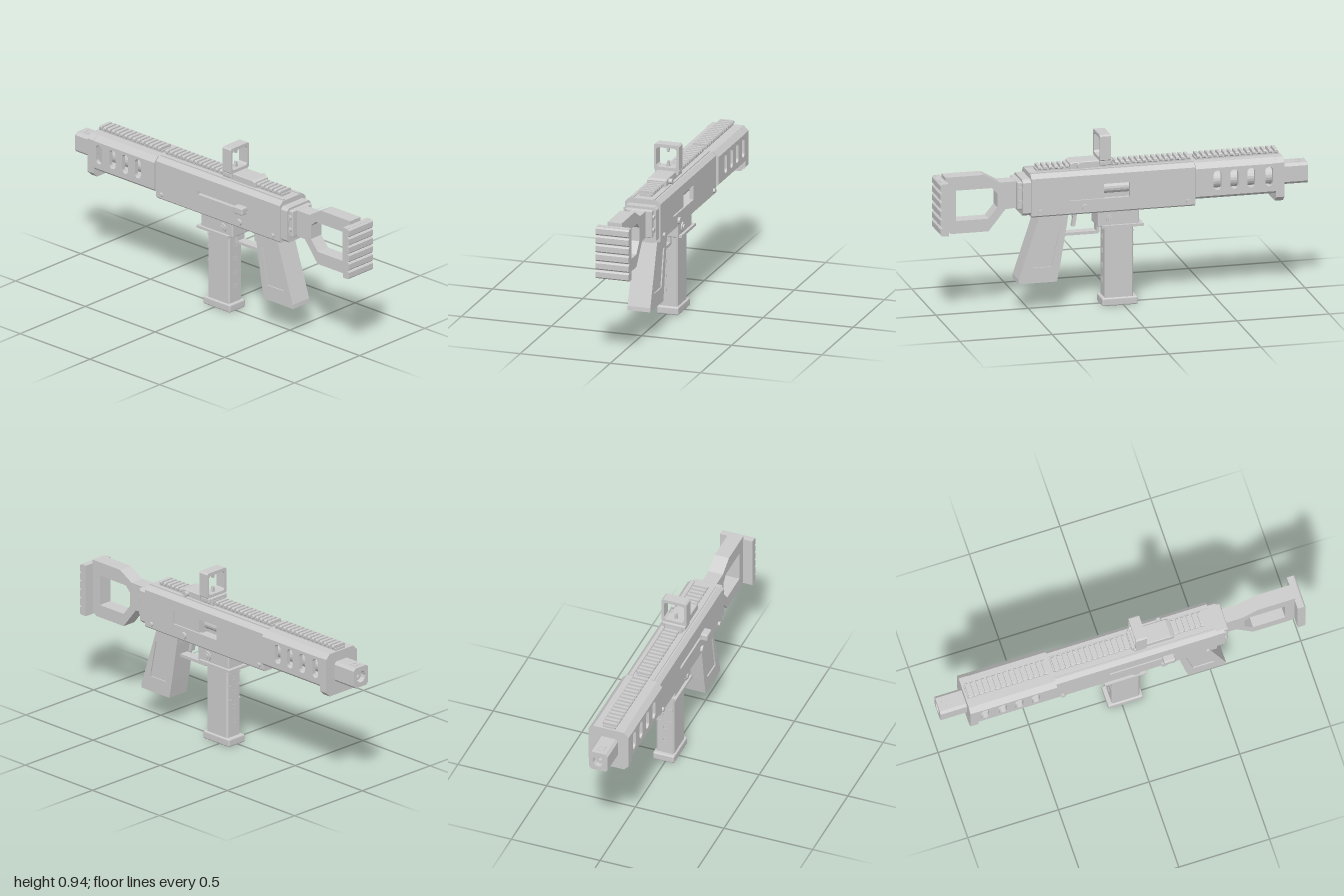
import * as THREE from 'three';
import { RoundedBoxGeometry } from 'three/addons/geometries/RoundedBoxGeometry.js';

const mat = new THREE.MeshStandardMaterial({ color: 0xcccccc, flatShading: true });

export function createModel() {
  const root = new THREE.Group();
  root.position.x = 0.01;
  const model = new THREE.Group();
  model.add(root);

  const add = (name, geo) => {
    const m = new THREE.Mesh(geo, mat);
    m.name = name;
    root.add(m);
    return m;
  };
  // box from its limits; r rounds the edges
  const box = (name, x0, x1, y0, y1, z0, z1, r = 0) => {
    const s = [x1 - x0, y1 - y0, z1 - z0];
    const g = r ? new RoundedBoxGeometry(...s, 2, r) : new THREE.BoxGeometry(...s);
    return add(name, g.translate((x0 + x1) / 2, (y0 + y1) / 2, (z0 + z1) / 2));
  };
  const poly = (pts) => new THREE.Shape(pts.map((p) => new THREE.Vector2(...p)));
  const makeShape = (pts, holes) => {
    const s = poly(pts);
    s.holes = holes.map((h) => (Array.isArray(h) ? poly(h) : h));
    return s;
  };
  // side outline in (z, y), extruded across x
  const side = (name, pts, x0, x1, holes = [], bevel = 0) => {
    const g = new THREE.ExtrudeGeometry(makeShape(pts, holes), {
      depth: x1 - x0 - 2 * bevel, bevelEnabled: bevel > 0, bevelSize: bevel, bevelOffset: -bevel,
      bevelThickness: bevel, bevelSegments: 1, curveSegments: 8 });
    return add(name, g.rotateY(-Math.PI / 2).translate(x1 - bevel, 0, 0));
  };
  // cross-section in (x, y), extruded along z
  const section = (name, pts, z0, z1, holes = []) =>
    add(name, new THREE.ExtrudeGeometry(makeShape(pts, holes), {
      depth: z1 - z0, bevelEnabled: false, curveSegments: 6 }).translate(0, 0, z0));
  const rect = (a0, a1, b0, b1) => [[a0, b0], [a1, b0], [a1, b1], [a0, b1]];
  const octagon = (hw, y0, y1, c) => [
    [-hw + c, y0], [hw - c, y0], [hw, y0 + c], [hw, y1 - c],
    [hw - c, y1], [-hw + c, y1], [-hw, y1 - c], [-hw, y0 + c]];
  // cylinder along x
  const pin = (name, x0, x1, y, z, r, n = 16) =>
    add(name, new THREE.CylinderGeometry(r, r, x1 - x0, n).rotateZ(Math.PI / 2).translate((x0 + x1) / 2, y, z));
  const slot = (z, y0, y1, r) => {
    const p = new THREE.Path();
    p.absarc(z, y1 - r, r, 0, Math.PI);
    p.absarc(z, y0 + r, r, Math.PI, 2 * Math.PI);
    p.closePath();
    return p;
  };

  // hollow housing: top, bottom and two pierced side plates
  const housing = (name, hw, y0, y1, c, cb, z0, z1, rightHoles, leftHoles) => {
    section(name + 'Top', [[-hw, y1 - c], [hw, y1 - c], [hw - c, y1], [-hw + c, y1]], z0, z1);
    section(name + 'Bottom', [[-hw + cb, y0], [hw - cb, y0], [hw, y0 + cb], [-hw, y0 + cb]], z0, z1);
    const plate = rect(z0, z1, y0 + cb, y1 - c);
    side(name + 'LeftPlate', plate, hw - 0.022, hw, rightHoles);
    side(name + 'RightPlate', plate, -hw, -hw + 0.022, leftHoles);
    for (const [a, b] of [[z0, z0 + 0.02], [z1 - 0.02, z1]])
      box(name + 'EndWall', -hw + 0.022, hw - 0.022, y0 + cb, y1 - c, a, b);
  };

  // receiver with ejection port and handle slot
  housing('receiver', 0.0975, 0.525, 0.757, 0.022, 0.008, -0.377, 0.51,
    [rect(-0.023, 0.3, 0.602, 0.682)], [rect(-0.08, 0.28, 0.632, 0.652)]);
  box('boltCarrier', -0.06, 0.088, 0.595, 0.69, 0.116, 0.32);
  add('bolt', new THREE.CylinderGeometry(0.03, 0.03, 0.45, 16).rotateX(Math.PI / 2).translate(0.02, 0.64, -0.09));
  box('chargingHandle', -0.135, -0.05, 0.62, 0.662, 0.208, 0.272, 0.008);
  for (const s of [-1, 1]) {
    for (const [y, z, r] of [[0.555, 0.46, 0.012], [0.555, -0.34, 0.012], [0.56, 0.218, 0.019]])
      pin('receiverPin', s > 0 ? 0.09 : -0.11, s > 0 ? 0.11 : -0.09, y, z, r);
    box('receiverTopRidge', s * 0.06 - 0.007, s * 0.06 + 0.007, 0.75, 0.762, -0.375, 0.505);
  }

  // handguard with vertical slots and a front hand stop
  const vents = () => [-0.494, -0.585, -0.676, -0.773].map((z) => slot(z, 0.607, 0.714, 0.021));
  housing('handguard', 0.113, 0.564, 0.757, 0.028, 0.014, -0.83, -0.377, vents(), vents());
  section('handguardFrontCap', octagon(0.113, 0.518, 0.757, 0.026), -0.855, -0.81);
  add('barrel', new THREE.CylinderGeometry(0.045, 0.045, 0.45, 20).rotateX(Math.PI / 2).translate(0, 0.635, -0.6));

  // muzzle block with bore and top port
  const bore = new THREE.Path().absarc(0, 0.647, 0.032, 0, 2 * Math.PI);
  section('muzzle', octagon(0.053, 0.591, 0.703, 0.014), -1, -0.85, [bore]);
  const lip = new THREE.Path().absarc(0, 0.647, 0.015, 0, 2 * Math.PI);
  section('muzzleInner', octagon(0.034, 0.613, 0.681, 0.02), -0.97, -0.86, [lip]);
  section('muzzlePort', rect(-0.02, 0.02, -0.02, 0.02), 0, 0.005, [rect(-0.012, 0.012, -0.012, 0.012)])
    .rotation.x = -Math.PI / 2;
  root.children.at(-1).position.set(0, 0.7, -0.955);

  // toothed top rails
  for (const [z0, z1] of [[-0.37, 0.465], [-0.845, -0.395]]) {
    box('railBase', -0.034, 0.034, 0.75, 0.769, z0, z1);
    const n = Math.round((z1 - z0) / 0.03);
    const step = (z1 - z0) / n;
    for (let i = 0; i < n; i++) {
      const z = z0 + (i + 0.5) * step;
      section('railTooth', octagon(0.041, 0.765, 0.785, 0.005), z - step * 0.29, z + step * 0.29);
    }
  }

  // sight: base, clamp, square frame, aiming posts and knob
  side('sightBase', [[0.288, 0.757], [0.057, 0.757], [0.057, 0.798], [0.27, 0.798], [0.288, 0.79]], -0.052, 0.052, [], 0.004);
  box('sightClamp', -0.066, 0.066, 0.772, 0.8, 0.065, 0.13, 0.006);
  pin('sightKnob', 0.04, 0.072, 0.779, 0.24, 0.014);
  section('sightFrame', octagon(0.07, 0.796, 0.94, 0.008), 0.073, 0.132, [octagon(0.057, 0.815, 0.922, 0.01)]);
  section('sightLowerPost', [[-0.01, 0.812], [0.01, 0.812], [0.004, 0.845], [-0.004, 0.845]], 0.095, 0.11);
  section('sightUpperPost', [[-0.004, 0.893], [0.004, 0.893], [0.01, 0.925], [-0.01, 0.925]], 0.095, 0.11);

  // stock: rear plate, hinge, open frame and ribbed pad
  section('rearPlate', octagon(0.09, 0.535, 0.73, 0.015), 0.505, 0.555);
  box('stockHinge', -0.075, 0.075, 0.568, 0.718, 0.55, 0.58, 0.006);
  for (const y of [0.61, 0.68]) pin('hingePin', -0.085, 0.085, y, 0.562, 0.012);
  side('stockFrame', [[0.96, 0.762], [0.754, 0.762], [0.668, 0.714], [0.575, 0.714], [0.575, 0.57], [0.636, 0.566],
    [0.727, 0.452], [0.93, 0.452], [0.96, 0.475]], -0.04, 0.04,
  [[[0.904, 0.687], [0.711, 0.687], [0.679, 0.655], [0.679, 0.58], [0.727, 0.521], [0.904, 0.521]]]);
  box('buttPad', -0.092, 0.092, 0.457, 0.742, 0.956, 0.988);
  for (let i = 0; i < 6; i++) {
    const y = 0.457 + i * 0.0475;
    side('buttPadRib', [[0.98, y], [0.994, y + 0.002], [1, y + 0.009], [1, y + 0.038], [0.994, y + 0.045], [0.98, y + 0.0475]],
      -0.092, 0.092);
  }

  // pistol grip with recessed side panels
  const gripOutline = [[0.454, 0.53], [0.3, 0.53], [0.308, 0.47], [0.345, 0.25], [0.363, 0.157], [0.572, 0.157], [0.57, 0.18]];
  const panel = [[0.464, 0.446], [0.346, 0.446], [0.352, 0.425], [0.39, 0.24], [0.504, 0.24], [0.502, 0.262]];
  side('gripCore', gripOutline, -0.056, 0.056);
  side('gripLeftPanel', gripOutline, 0.055, 0.063, [panel]);
  side('gripRightPanel', gripOutline, -0.063, -0.055, [panel]);

  // trigger and guard
  side('trigger', [[0.272, 0.53], [0.24, 0.53], [0.244, 0.48], [0.252, 0.437], [0.27, 0.437], [0.262, 0.48]], -0.014, 0.014);
  side('triggerGuard', [[0.32, 0.392], [0.132, 0.392], [0.122, 0.402], [0.122, 0.45], [0.14, 0.45], [0.14, 0.408], [0.32, 0.408]],
    -0.026, 0.026);

  // magazine well and its flange
  box('magazineWell', -0.068, 0.068, 0.437, 0.53, -0.082, 0.143, 0.006);
  side('magazineWellFlange', rect(-0.103, 0.125, 0.433, 0.447), -0.083, 0.083);
  for (const s of [-1, 1]) {
    pin('magazineCatch', s > 0 ? 0.06 : -0.076, s > 0 ? 0.076 : -0.06, 0.479, 0.073, 0.026);
    pin('magazineCatchButton', s > 0 ? 0.06 : -0.082, s > 0 ? 0.082 : -0.06, 0.479, 0.073, 0.015);
  }

  // magazine, base plate, window frames and ribs
  section('magazine', octagon(0.05, -0.055, 0.1, 0.008), 0, 0.41).rotation.x = Math.PI / 2;
  root.children.at(-1).position.y = 0.445;
  box('magazineBase', -0.06, 0.06, 0, 0.044, -0.077, 0.116, 0.008);
  for (const y of [0.13, 0.21, 0.29, 0.37])
    for (const z of [-0.057, 0.098])
      section('magazineWindow', rect(-0.013, 0.013, y - 0.012, y + 0.012), z, z + 0.004,
        [rect(-0.009, 0.009, y - 0.008, y + 0.008)]);
  for (const y of [0.25, 0.33, 0.4])
    for (const s of [-1, 1]) box('magazineRib', s * 0.032 - 0.013, s * 0.032 + 0.013, y - 0.004, y + 0.004, -0.058, -0.05);

  return model;
}
